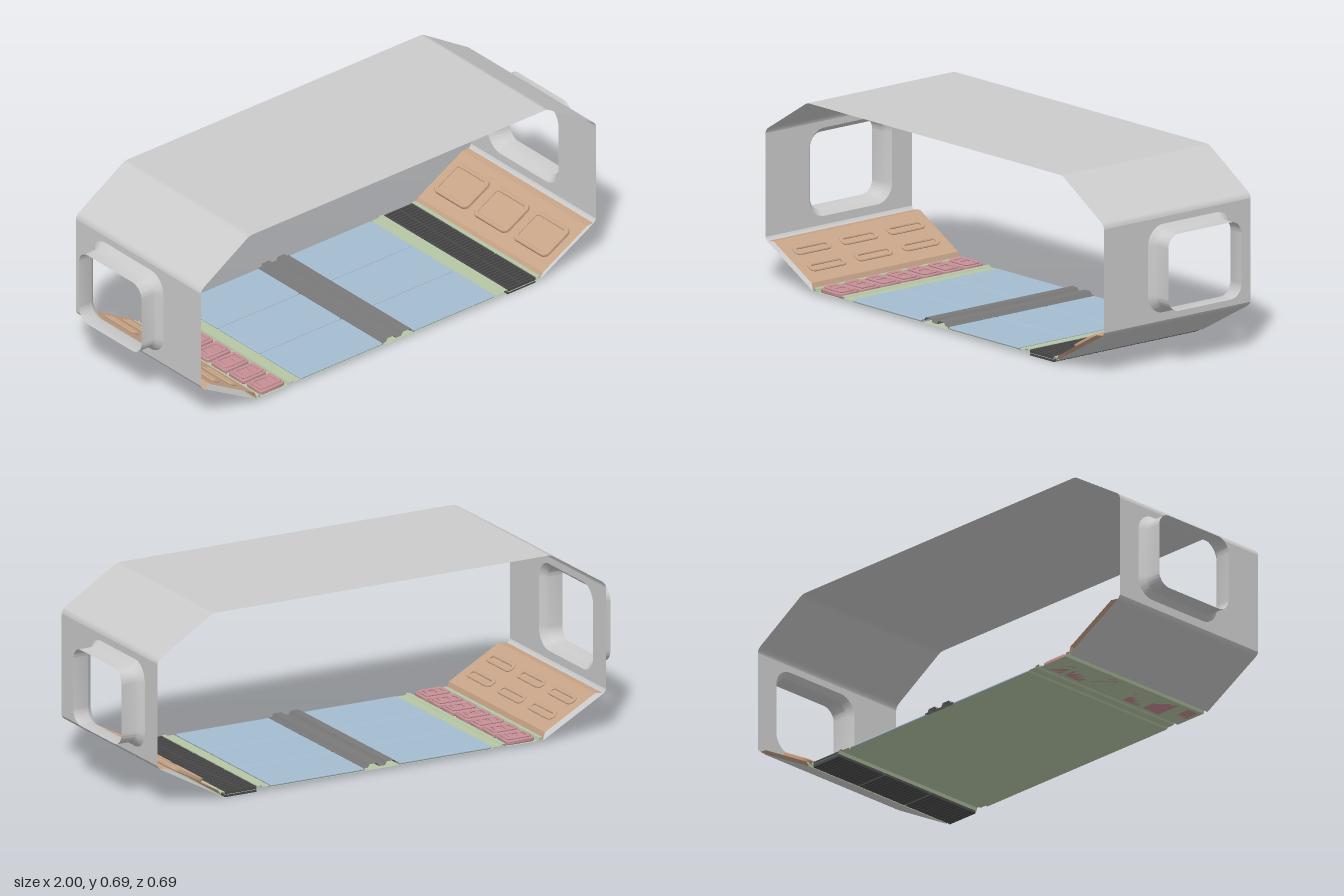
import * as THREE from 'three';
import { toCreasedNormals } from 'three/addons/utils/BufferGeometryUtils.js';

const HALF = 0.345; // half depth in z
const GREY = 0xcccccc, BLUE = 0xa4bccf, TAN = 0xc8a488, PINK = 0xc48f95;
const GREEN = 0xb6c6a4, DARK = 0x4a4a4a, MID = 0x7a7a7a;

function mesh(name, geometry, color, flatShading = false) {
  const material = new THREE.MeshStandardMaterial({ color, side: THREE.DoubleSide, flatShading });
  const m = new THREE.Mesh(geometry, material);
  m.name = name;
  return m;
}

// Grid of vertex rows joined into a surface
function loft(rows) {
  const n = rows[0].length, index = [];
  for (let i = 0; i < rows.length - 1; i++) {
    for (let j = 0; j < n - 1; j++) {
      const a = i * n + j, b = a + n;
      index.push(a, a + 1, b, b, a + 1, b + 1);
    }
  }
  const g = new THREE.BufferGeometry();
  g.setAttribute('position', new THREE.Float32BufferAttribute(rows.flat(2), 3));
  g.setIndex(index);
  g.computeVertexNormals();
  return g;
}

// Thin sheet: an xy profile swept along z
function ribbon(profile, half = HALF) {
  return loft([half, -half].map(z => profile.map(([x, y]) => [x, y, z])));
}

function roundRect(target, cx, cy, hw, hh, r) {
  target.moveTo(cx - hw + r, cy - hh);
  target.lineTo(cx + hw - r, cy - hh);
  target.absarc(cx + hw - r, cy - hh + r, r, -Math.PI / 2, 0);
  target.lineTo(cx + hw, cy + hh - r);
  target.absarc(cx + hw - r, cy + hh - r, r, 0, Math.PI / 2);
  target.lineTo(cx - hw + r, cy + hh);
  target.absarc(cx - hw + r, cy + hh - r, r, Math.PI / 2, Math.PI);
  target.lineTo(cx - hw, cy - hh + r);
  target.absarc(cx - hw + r, cy - hh + r, r, Math.PI, Math.PI * 1.5);
  return target;
}

// Rounded slab lying in xz with a chamfered edge; rim > 0 turns it into a ring
function pad(w, d, r, height, rim = 0) {
  const b = Math.min(0.003, height / 3);
  const shape = roundRect(new THREE.Shape(), 0, 0, w / 2 - b, d / 2 - b, r);
  if (rim) shape.holes.push(roundRect(new THREE.Path(), 0, 0, w / 2 - rim, d / 2 - rim, Math.max(r - rim / 2, 0.003)));
  const g = new THREE.ExtrudeGeometry(shape, {
    depth: height - 2 * b, bevelEnabled: true, bevelSize: b, bevelThickness: b, bevelSegments: 1, curveSegments: 5,
  });
  g.translate(0, 0, b).rotateX(-Math.PI / 2);
  return toCreasedNormals(g, 0.5);
}

function place(parent, m, x, y, z) {
  m.position.set(x, y, z);
  parent.add(m);
}

// End wall with its opening and the sleeve that projects from it
function endWall(s) {
  const group = new THREE.Group();
  group.name = s > 0 ? 'leftEndWall' : 'rightEndWall';
  const cz = -0.0575, cy = 0.353;
  const shape = new THREE.Shape();
  shape.moveTo(-HALF, 0.16).lineTo(HALF, 0.16).lineTo(HALF, 0.54).lineTo(-HALF, 0.54);
  shape.holes.push(roundRect(new THREE.Path(), cz, cy, 0.195, 0.162, 0.07));
  const wall = new THREE.ShapeGeometry(shape, 10);
  wall.rotateY(-Math.PI / 2).translate(0.917 * s, 0, 0);
  group.add(mesh('wallPanel', wall, GREY));

  // [x, half width, half height, corner radius]
  const rings = [[0.917, 0.195, 0.162, 0.07], [0.935, 0.177, 0.146, 0.054],
    [0.942, 0.1725, 0.1415, 0.05], [1, 0.1725, 0.1415, 0.05]];
  const rows = rings.map(([x, hw, hh, r]) => {
    const pts = roundRect(new THREE.Path(), cz, cy, hw, hh, r).getPoints(10);
    pts.push(pts[0].clone());
    return pts.map(p => [x * s, p.y, p.x]);
  });
  group.add(mesh('windowSleeve', toCreasedNormals(loft(rows), 0.6), GREY));
  return group;
}

// Sloped inner panel; local x runs up the slope, local y is its normal
function slopePanel(s) {
  const side = new THREE.Group();
  side.name = s > 0 ? 'leftSlope' : 'rightSlope';
  if (s < 0) side.rotation.y = Math.PI;
  const slope = new THREE.Group();
  slope.name = 'slopePanel';
  slope.position.set(0.66, 0.01, 0);
  slope.rotation.z = Math.atan2(0.135, 0.245);
  side.add(slope);
  const h = s > 0 ? 0.014 : 0.022;
  slope.add(mesh('slopeLining', ribbon([[0, 0.003], [0.02, h], [0.255, h], [0.28, 0.003]]), TAN, true));
  for (const z of [-0.22, 0, 0.22]) {
    if (s > 0) {
      place(slope, mesh('squarePad', pad(0.14, 0.185, 0.02, 0.01), TAN), 0.137, h, z);
      place(slope, mesh('padRim', pad(0.14, 0.185, 0.02, 0.016, 0.012), TAN), 0.137, h, z);
    } else {
      for (const u of [0.091, 0.183]) {
        place(slope, mesh('slotRim', pad(0.044, 0.17, 0.017, 0.009, 0.011), TAN), u, h - 0.001, z);
      }
    }
  }
  return side;
}

export function createModel() {
  const model = new THREE.Group();
  model.name = 'corridorSection';

  // Roof and lower hull slopes
  const half = [[0.917, 0.54], [0.914, 0.551], [0.905, 0.561], [0.705, 0.686], [0.695, 0.692], [0.682, 0.695]];
  const mirrored = half.map(([x, y]) => [-x, y]).reverse();
  model.add(mesh('roof', ribbon([...half, ...mirrored]), GREY));
  for (const s of [1, -1]) {
    const low = [[0.66, 0.01], [0.902, 0.1435], [0.912, 0.151], [0.917, 0.16]];
    model.add(mesh('lowerHull', ribbon(low.map(([x, y]) => [x * s, y])), GREY));
    model.add(endWall(s), slopePanel(s));
  }

  // Floor sheet with raised rails either side of each channel
  const rails = [[0.66, 0.01], [0.658, 0.022], [0.644, 0.022], [0.64, 0.01], [0.51, 0.01],
    [0.506, 0.022], [0.492, 0.022], [0.488, 0.016], [0.458, 0.016], [0.454, 0.01]];
  const floor = [...rails, ...rails.map(([x, y]) => [-x, y]).reverse()];
  model.add(mesh('floor', ribbon(floor), GREEN, true));

  // Floor plates, two columns of three
  for (const x of [-0.261, 0.261]) {
    for (const z of [-0.23, 0, 0.23]) {
      place(model, mesh('floorPlate', pad(0.382, 0.227, 0.004, 0.009), BLUE, true), x, 0.0105, z);
    }
  }

  // Ridged strip across the middle of the floor
  const ridge = [[0.072, 0.012], [0.07, 0.02], [0.058, 0.02], [0.05, 0.032], [0.02, 0.032], [0.012, 0.019]];
  const strip = [...ridge, ...ridge.map(([x, y]) => [-x, y]).reverse()];
  model.add(mesh('centreStrip', ribbon(strip), MID, true));

  // Dark gratings in the left channel
  for (const z of [-0.23, 0, 0.23]) {
    const grating = new THREE.Group();
    grating.name = 'grating';
    place(grating, mesh('gratingBase', new THREE.BoxGeometry(0.13, 0.011, 0.222), DARK), 0, 0.0065, 0);
    for (const x of [-0.062, 0, 0.062]) {
      place(grating, mesh('gratingRail', new THREE.BoxGeometry(0.006, 0.01, 0.222), DARK), x, 0.016, 0);
    }
    for (let i = 0; i < 14; i++) {
      const bar = mesh('gratingBar', new THREE.BoxGeometry(0.13, 0.021, 0.007), DARK);
      place(grating, bar, 0, 0.0105, -0.1075 + i * 0.215 / 13);
    }
    place(model, grating, 0.575, 0, z);
  }

  // Pink cells in the right channel
  for (let i = 0; i < 7; i++) {
    const z = (i - 3) * 0.098;
    place(model, mesh('cellBase', pad(0.112, 0.086, 0.008, 0.016), PINK), -0.575, 0.01, z);
    place(model, mesh('cellRim', pad(0.1, 0.07, 0.01, 0.008, 0.01), PINK), -0.575, 0.025, z);
    for (const x of [-0.02, 0.02]) {
      place(model, mesh('cellBar', pad(0.02, 0.04, 0.005, 0.006), PINK), -0.575 + x, 0.025, z);
    }
  }
  return model;
}
